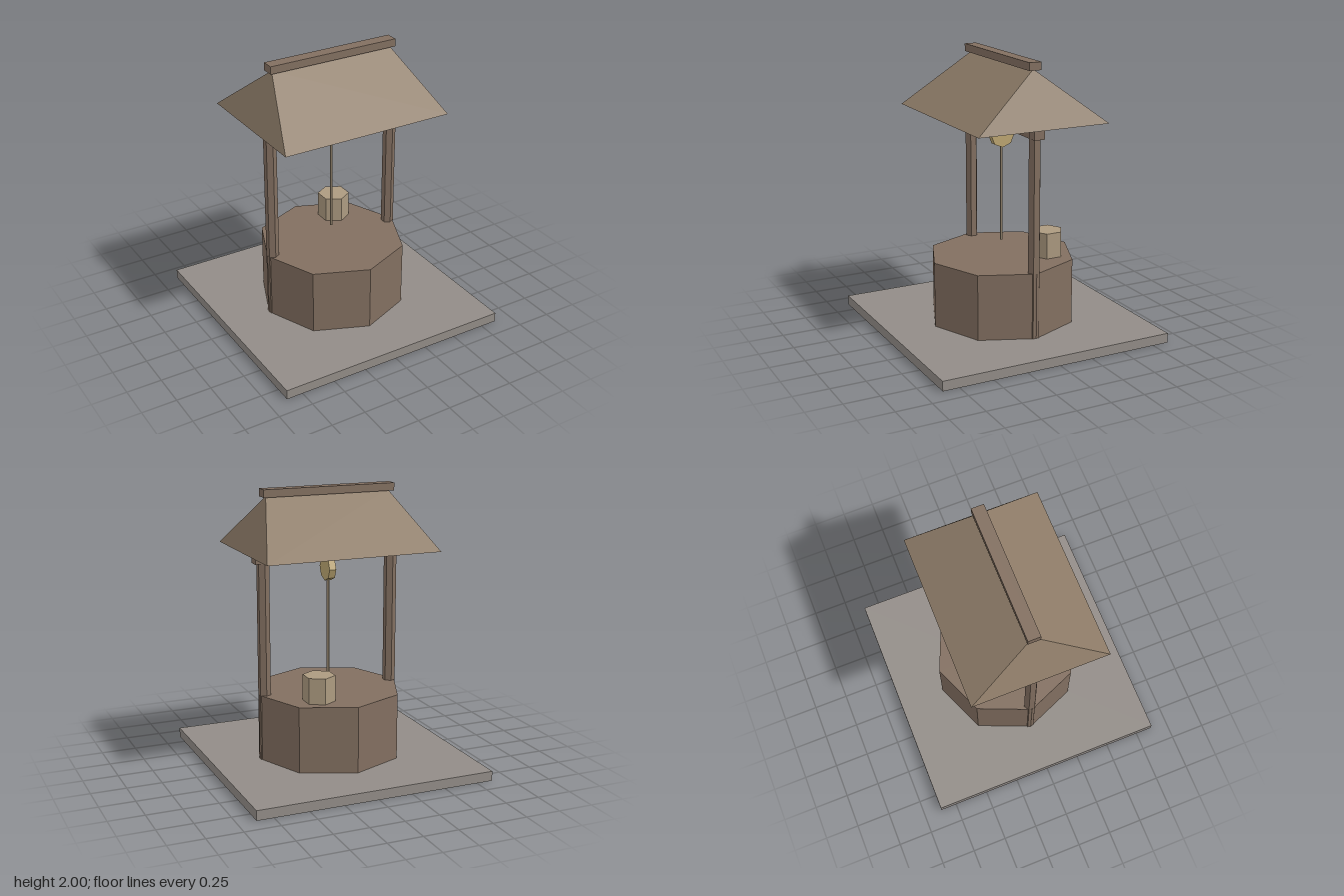
import * as THREE from 'three';
import { ConvexGeometry } from 'three/addons/geometries/ConvexGeometry.js';

const material = (color) => new THREE.MeshStandardMaterial({ color, flatShading: true });

export function createModel() {
  const model = new THREE.Group();
  model.name = 'well';

  const stone = material(0x928c87);
  const wall = material(0x826f60);
  const timber = material(0x826f60);
  const roofing = material(0x8f7d69);
  const pale = material(0xac9a80);
  const brass = material(0xbca672);

  const add = (name, geometry, mat, x, y, z) => {
    const mesh = new THREE.Mesh(geometry, mat);
    mesh.name = name;
    mesh.position.set(x, y, z);
    model.add(mesh);
    return mesh;
  };
  // Boxes and prisms are placed by the height of their underside and top
  const box = (name, w, d, y0, y1, mat) =>
    add(name, new THREE.BoxGeometry(w, y1 - y0, d), mat, 0, (y0 + y1) / 2, 0);
  const prism = (name, r, sides, y0, y1, mat, x = 0, z = 0) =>
    add(name, new THREE.CylinderGeometry(r, r, y1 - y0, sides), mat, x, (y0 + y1) / 2, z);

  // Ground slab and octagonal wall
  box('groundSlab', 1.74, 1.74, 0, 0.07, stone);
  prism('wellWall', 0.53, 8, 0.07, 0.545, wall);

  // Hexagonal posts carrying the cross beam
  for (const [side, name] of [[1, 'leftPost'], [-1, 'rightPost']]) {
    prism(name, 0.045, 6, 0.07, 1.545, timber, side * 0.487);
  }
  box('crossBeam', 1.11, 0.08, 1.49, 1.57, timber);

  // Solid hipped roof: a wide rectangle rising to a shorter ridge line
  const roofPoints = [];
  for (const x of [-1, 1]) {
    roofPoints.push(new THREE.Vector3(x * 0.46, 0.38, 0));
    for (const z of [-1, 1]) roofPoints.push(new THREE.Vector3(x * 0.635, 0, z * 0.49));
  }
  add('roof', new ConvexGeometry(roofPoints), roofing, 0, 1.57, 0);
  box('ridgeCap', 0.98, 0.09, 1.945, 2, timber);

  // Pulley wheel on the x axis, with the rope hanging from it
  const pulley = add('pulley', new THREE.CylinderGeometry(0.09, 0.09, 0.05, 8), brass, 0, 1.42, 0);
  pulley.rotation.z = Math.PI / 2;
  prism('rope', 0.01, 6, 0.645, 1.38, pale);

  // Bucket standing at the back of the well
  prism('bucket', 0.115, 6, 0.545, 0.73, pale, 0.185, -0.275);

  return model;
}
